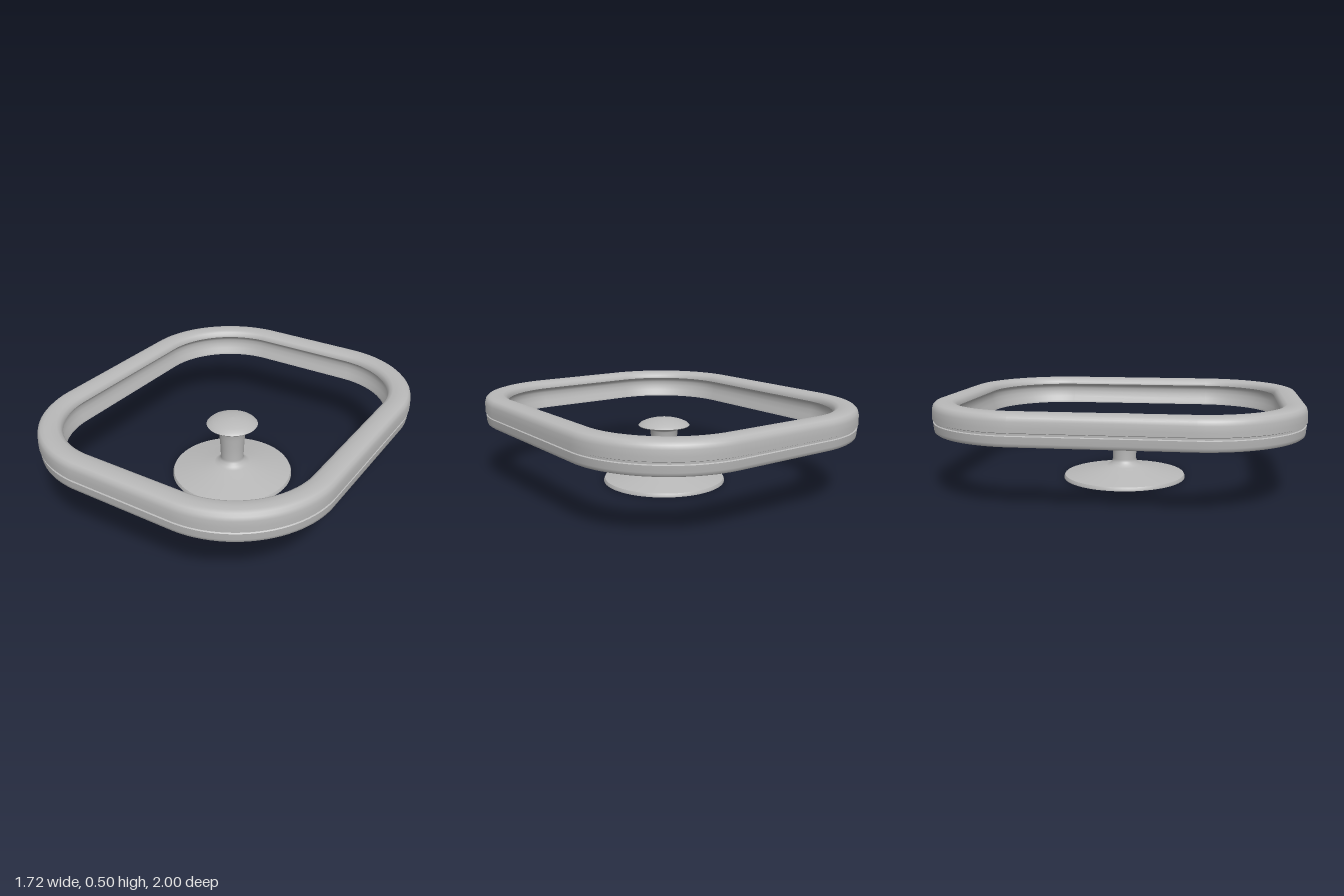
import * as THREE from 'three';

// Turns [radius, y] points into a smooth profile; a third entry marks a sharp edge,
// which doubles the point so the normals split there.
function lathe(points, segments, phiStart = 0) {
  const profile = points.flatMap(([r, y, sharp]) => {
    const p = new THREE.Vector2(r, y);
    return sharp ? [p, p.clone()] : [p];
  });
  return new THREE.LatheGeometry(profile, segments, phiStart);
}

// Pulls the four quadrants of a turned ring apart into a rounded rectangle.
function stretchToFrame(geometry, dx, dz) {
  const pos = geometry.attributes.position;
  for (let i = 0; i < pos.count; i++) {
    pos.setX(i, pos.getX(i) + Math.sign(pos.getX(i)) * dx);
    pos.setZ(i, pos.getZ(i) + Math.sign(pos.getZ(i)) * dz);
  }
  return geometry;
}

export function createModel() {
  const group = new THREE.Group();
  const grey = new THREE.MeshStandardMaterial({ color: 0xb8b8b8 });
  grey.name = 'plain grey';

  const add = (name, geometry) => {
    const mesh = new THREE.Mesh(geometry, grey);
    mesh.name = name;
    group.add(mesh);
  };

  // Rounded rectangular rim with a seam outside and a shallow channel inside
  const rim = [
    [0.435, 0.33], [0.552, 0.33, true], [0.56, 0.336], [0.563, 0.35],
    [0.566, 0.384, true], [0.56, 0.388, true], [0.56, 0.398, true], [0.57, 0.402, true],
    [0.57, 0.425], [0.569, 0.455], [0.563, 0.475], [0.55, 0.488], [0.53, 0.494],
    [0.5, 0.496], [0.465, 0.492], [0.447, 0.483], [0.437, 0.468], [0.435, 0.455, true],
    [0.452, 0.442], [0.46, 0.425], [0.458, 0.40], [0.45, 0.37], [0.437, 0.343], [0.435, 0.33],
  ];
  const segments = 96;
  // Half a step of offset keeps every vertex clear of the quadrant borders
  add('rim', stretchToFrame(lathe(rim, segments, Math.PI / segments), 0.29, 0.43));

  // Pedestal: flat foot, sloping base, waisted stem and low domed knob
  add('pedestal', lathe([
    [0, 0], [0.353, 0, true], [0.353, 0.008], [0.347, 0.02, true],
    [0.22, 0.047], [0.105, 0.069], [0.085, 0.08], [0.072, 0.095], [0.067, 0.11],
    [0.07, 0.18], [0.075, 0.25], [0.08, 0.30], [0.09, 0.309], [0.12, 0.318],
    [0.145, 0.325], [0.148, 0.329, true], [0.135, 0.341], [0.11, 0.352],
    [0.075, 0.362], [0.035, 0.368], [0, 0.37],
  ], 64));

  return group;
}
